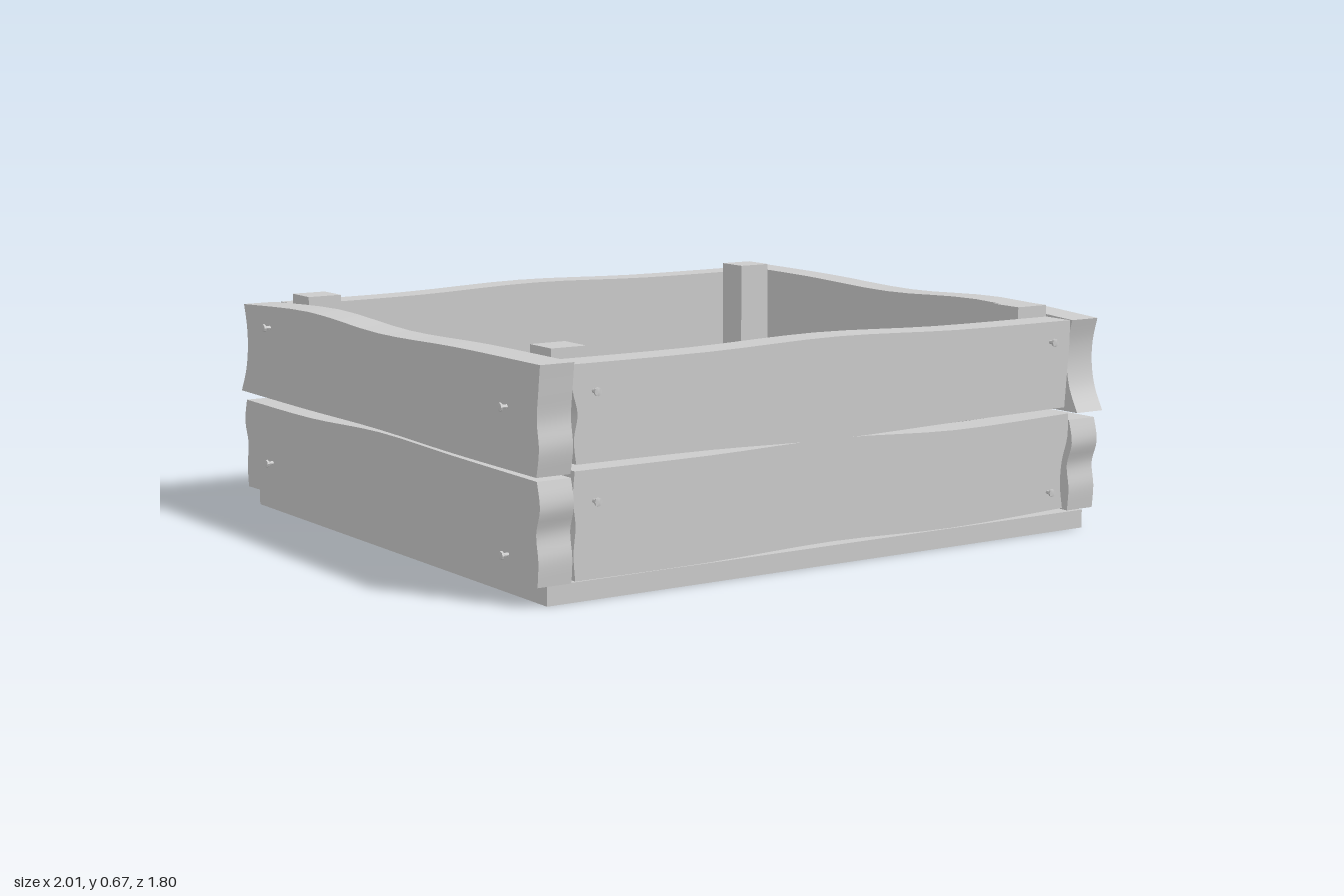
import * as THREE from 'three';
import { toCreasedNormals } from 'three/addons/utils/BufferGeometryUtils.js';

const grey = new THREE.MeshStandardMaterial({ color: 0xcccccc });

// small seeded generator, 0..1
function seeded(seed) {
  return () => {
    seed = (seed * 16807) % 2147483647;
    return seed / 2147483647;
  };
}

function add(parent, name, geometry, x = 0, y = 0, z = 0) {
  const mesh = new THREE.Mesh(geometry, grey);
  mesh.name = name;
  mesh.position.set(x, y, z);
  parent.add(mesh);
  return mesh;
}

// A rough-sawn board: heights along top and bottom, positions up both ends
function boardGeometry({ bottom, top, left, right }, thickness) {
  const spread = (values, a, b, vertical) => {
    const points = values.map((v, i) => {
      const t = a + (b - a) * i / (values.length - 1);
      return vertical ? new THREE.Vector2(v, t) : new THREE.Vector2(t, v);
    });
    return new THREE.SplineCurve(points).getPoints(16);
  };
  const last = (a) => a[a.length - 1];
  const outline = [
    ...spread(bottom, left[0], right[0], false),
    ...spread(right, last(bottom), last(top), true).slice(1),
    ...spread(top, last(left), last(right), false).reverse().slice(1),
    ...spread(left, bottom[0], top[0], true).reverse().slice(1, -1),
  ];
  const geometry = new THREE.ExtrudeGeometry(new THREE.Shape(outline), { depth: thickness, bevelEnabled: false });
  return toCreasedNormals(geometry, 0.5);
}

// Short fixing nail with a wider head, pointing along +z
function fixingGeometry() {
  const profile = [[0, -0.02], [0.006, -0.02], [0.006, 0.014], [0.012, 0.018], [0.012, 0.024], [0, 0.027]];
  const geometry = new THREE.LatheGeometry(profile.map(([r, y]) => new THREE.Vector2(r, y)), 8);
  geometry.rotateX(Math.PI / 2);
  return toCreasedNormals(geometry, 0.6);
}

// One wall: two boards and four nails, outer face at distance d
function wall(name, angle, d, thickness, boards, nails) {
  const group = new THREE.Group();
  group.name = name;
  boards.forEach((b, i) => add(group, i ? 'upperBoard' : 'lowerBoard', boardGeometry(b, thickness), 0, 0, d - thickness));
  nails.forEach(([x, y]) => add(group, 'fixingNail', fixingGeometry(), x, y, d));
  group.rotation.y = angle;
  return group;
}

// Loose tapered nail lying along +y from tip (0) to head (length), bent sideways
function looseNailGeometry(length, bend, kink) {
  const profile = [
    [0, 0], [0.005, 0.005], [0.009, 0.15], [0.012, 0.3], [0.014, 0.45], [0.016, 0.6], [0.017, 0.75],
    [0.017, 0.88], [0.021, 0.925], [0.029, 0.945], [0.029, 0.98], [0.022, 1], [0, 1],
  ];
  const geometry = new THREE.LatheGeometry(profile.map(([r, t]) => new THREE.Vector2(r, t * length)), 9);
  const p = geometry.attributes.position;
  for (let i = 0; i < p.count; i++) {
    const t = p.getY(i) / length;
    p.setX(i, p.getX(i) + bend * Math.sin(Math.PI * t) + kink * Math.sin(2 * Math.PI * t));
  }
  return toCreasedNormals(geometry, 0.8);
}

// Head x, z and tip x, z of the nails that spread across the floor
const scattered = [
  [-.58, -.74, -.42, -.35], [-.14, -.63, .27, -.65], [-.76, -.32, -.42, -.54], [-.43, -.40, -.87, -.57],
  [-.26, -.66, -.42, -.28], [.41, -.60, .52, -.18], [.49, -.42, .49, -.76], [.57, -.61, .86, -.33],
  [-.21, -.50, .25, -.46], [.23, -.53, -.08, -.28], [-.54, -.18, -.62, -.45], [.27, -.28, .73, -.40],
  [.76, -.08, .25, .02], [.69, -.06, .45, .33], [.75, .22, .36, .42], [.67, .37, .55, .75],
  [-.81, .07, -.54, .30], [-.58, .24, -.12, .20], [-.83, .41, -.40, .32], [-.45, .68, -.60, .30],
  [-.14, .50, -.55, .51], [-.52, .38, -.72, .73], [-.02, .58, .17, .23], [.21, .46, -.20, .37],
  [.30, .66, .33, .24], [.45, .66, .28, .28], [.18, .42, .29, .76], [-.42, .07, -.12, -.16],
  [-.18, .31, -.68, .05], [-.18, .13, -.10, -.25], [-.03, .07, .20, -.30], [.33, -.26, .35, .22],
  [.36, .25, .54, .60],
];

function nailPile() {
  const group = new THREE.Group();
  group.name = 'nailPile';
  const rand = seeded(4711);
  const nails = [...scattered];
  // denser heap in the middle
  for (let i = 0; i < 30; i++) {
    const x = -0.3 + 0.7 * rand(), z = -0.4 + 0.75 * rand();
    const a = rand() * Math.PI * 2, h = 0.19 + 0.05 * rand();
    nails.push([x + h * Math.cos(a), z + h * Math.sin(a), x - h * Math.cos(a), z - h * Math.sin(a)]);
  }
  const up = new THREE.Vector3(0, 1, 0);
  nails.forEach(([hx, hz, tx, tz]) => {
    const centre = Math.hypot((hx + tx) / 2 - 0.08, (hz + tz) / 2);
    const lift = Math.max(0, 0.09 * (1 - centre / 0.6));
    const tip = new THREE.Vector3(tx, 0.07 + lift * rand(), tz);
    const head = new THREE.Vector3(hx, 0.085 + lift * 1.3 * rand(), hz);
    const along = head.clone().sub(tip);
    const bend = (rand() - 0.5) * 0.07, kink = (rand() - 0.5) * 0.025;
    const mesh = add(group, 'looseNail', looseNailGeometry(along.length(), bend, kink));
    // keep the bend level with the floor
    const y = along.normalize();
    const x = new THREE.Vector3().crossVectors(y, up).normalize();
    const z = new THREE.Vector3().crossVectors(x, y);
    mesh.quaternion.setFromRotationMatrix(new THREE.Matrix4().makeBasis(x, y, z));
    mesh.position.copy(tip);
  });
  return group;
}

export function createModel() {
  const model = new THREE.Group();
  model.name = 'crate';

  add(model, 'floor', new THREE.BoxGeometry(1.89, 0.055, 1.72), -0.01, 0.0275, 0);

  // corner posts
  for (const x of [-0.82, 0.81]) {
    for (const z of [-0.708, 0.705]) {
      add(model, 'cornerPost', new THREE.BoxGeometry(0.11, 0.615, 0.108), x, 0.3625, z);
    }
  }

  // short walls, front and back
  const endBoards = [
    {
      bottom: [0.058, 0.058, 0.068, 0.058, 0.07], top: [0.355, 0.355, 0.362, 0.345, 0.355],
      left: [-0.87, -0.875, -0.868, -0.876, -0.87], right: [0.85, 0.84, 0.845, 0.865, 0.865],
    },
    {
      bottom: [0.372, 0.37, 0.36, 0.368, 0.375], top: [0.64, 0.64, 0.65, 0.637, 0.635],
      left: [-0.865, -0.872, -0.86, -0.875, -0.87], right: [0.85, 0.855, 0.86, 0.865, 0.865],
    },
  ];
  model.add(wall('frontWall', 0, 0.865, 0.105, endBoards, [[-0.81, 0.565], [0.79, 0.575], [-0.81, 0.27], [0.79, 0.125]]));
  model.add(wall('backWall', Math.PI, 0.865, 0.1, endBoards, [[-0.8, 0.57], [0.81, 0.41], [-0.8, 0.15], [0.81, 0.24]]));

  // long walls, left and right
  const sideBoards = [
    {
      bottom: [0.06, 0.066, 0.06, 0.068, 0.056], top: [0.335, 0.335, 0.352, 0.345, 0.34],
      left: [-0.865, -0.87, -0.86, -0.88, -0.865], right: [0.87, 0.875, 0.865, 0.885, 0.87],
    },
    {
      bottom: [0.36, 0.358, 0.36, 0.352, 0.35], top: [0.635, 0.655, 0.638, 0.648, 0.65],
      left: [-0.9, -0.865, -0.85, -0.852, -0.87], right: [0.868, 0.882, 0.872, 0.88, 0.89],
    },
  ];
  model.add(wall('leftWall', Math.PI / 2, 0.97, 0.1, sideBoards, [[-0.71, 0.55], [0.74, 0.51], [-0.73, 0.16], [0.73, 0.225]]));
  model.add(wall('rightWall', -Math.PI / 2, 0.99, 0.105, sideBoards, [[-0.69, 0.58], [0.72, 0.52], [-0.69, 0.16], [0.72, 0.12]]));

  model.add(nailPile());
  return model;
}
